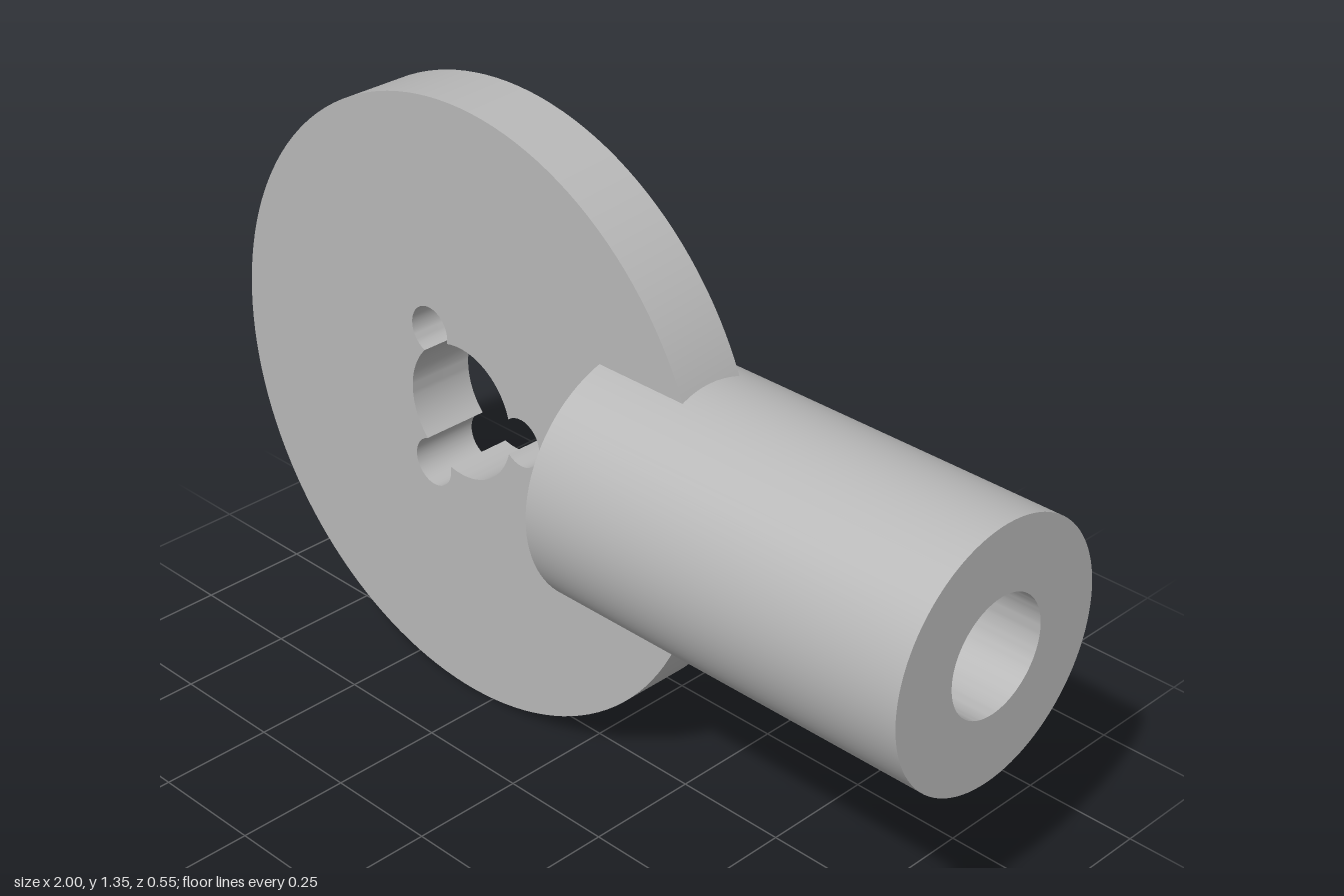
import * as THREE from 'three';
import { toCreasedNormals } from 'three/addons/utils/BufferGeometryUtils.js';

const AXIS_Y = 0.677, DISC_X = -0.324;
const DISC_R = 0.676, HALF_T = 0.0775;
const TUBE_R = 0.276, BORE_R = 0.125, TUBE_START = 0.078, BORE_END = -0.02;

// Points on an arc, both ends included
function arc(cx, cy, r, a0, a1, n) {
  return Array.from({ length: n + 1 }, (_, i) => {
    const a = a0 + ((a1 - a0) * i) / n;
    return new THREE.Vector2(cx + r * Math.cos(a), cy + r * Math.sin(a));
  });
}

function extrude(shape, depth) {
  const g = new THREE.ExtrudeGeometry(shape, { depth, bevelEnabled: false, curveSegments: 48 });
  return toCreasedNormals(g, 0.5);
}

// Central hole joined with three round lobes
function lobedHole() {
  const R = 0.148, r = 0.0535, d = 0.178;
  const b = Math.acos((d * d + R * R - r * r) / (2 * d * R));
  const e = Math.atan2(R * Math.sin(b), R * Math.cos(b) - d);
  const pts = [];
  for (let i = 0; i < 3; i++) {
    const t = (i * Math.PI * 2) / 3;
    pts.push(...arc(d * Math.cos(t), d * Math.sin(t), r, t - e, t + e, 24));
    pts.push(...arc(0, 0, R, t + b, t + (Math.PI * 2) / 3 - b, 24).slice(1, -1));
  }
  return new THREE.Path(pts);
}

export function createModel() {
  const model = new THREE.Group();
  const grey = new THREE.MeshStandardMaterial({ color: 0xb8b8b8 });
  grey.name = 'grey';

  const add = (name, geometry, x, y, z, alongX) => {
    const mesh = new THREE.Mesh(geometry, grey);
    mesh.name = name;
    mesh.position.set(x, y, z);
    if (alongX) mesh.rotation.y = Math.PI / 2;
    model.add(mesh);
  };

  // Disc, notched on the right where the bore runs into it
  const notch = 0.14;
  const a = Math.asin(notch / DISC_R);
  const outline = arc(0, 0, DISC_R, a, Math.PI * 2 - a, 128);
  outline.push(new THREE.Vector2(BORE_END - DISC_X, -notch), new THREE.Vector2(BORE_END - DISC_X, notch));
  const disc = new THREE.Shape(outline);
  disc.holes.push(lobedHole());
  add('disc', extrude(disc, HALF_T * 2), DISC_X, AXIS_Y, -HALF_T);

  // Curved bore walls above and below the slot in the disc
  const w = Math.acos(HALF_T / BORE_R);
  for (const s of [1, -1]) {
    const pts = arc(0, 0, BORE_R, s * w, s * (Math.PI - w), 20);
    pts.push(new THREE.Vector2(-HALF_T, s * notch), new THREE.Vector2(HALF_T, s * notch));
    add(s > 0 ? 'upperBoreWall' : 'lowerBoreWall',
      extrude(new THREE.Shape(pts), TUBE_START - BORE_END), BORE_END, AXIS_Y, 0, true);
  }

  // Thick tube lying along x
  const ring = new THREE.Shape().absarc(0, 0, TUBE_R, 0, Math.PI * 2);
  ring.holes.push(new THREE.Path().absarc(0, 0, BORE_R, 0, Math.PI * 2, true));
  add('tube', extrude(ring, 1 - TUBE_START), TUBE_START, AXIS_Y, 0, true);

  return model;
}
